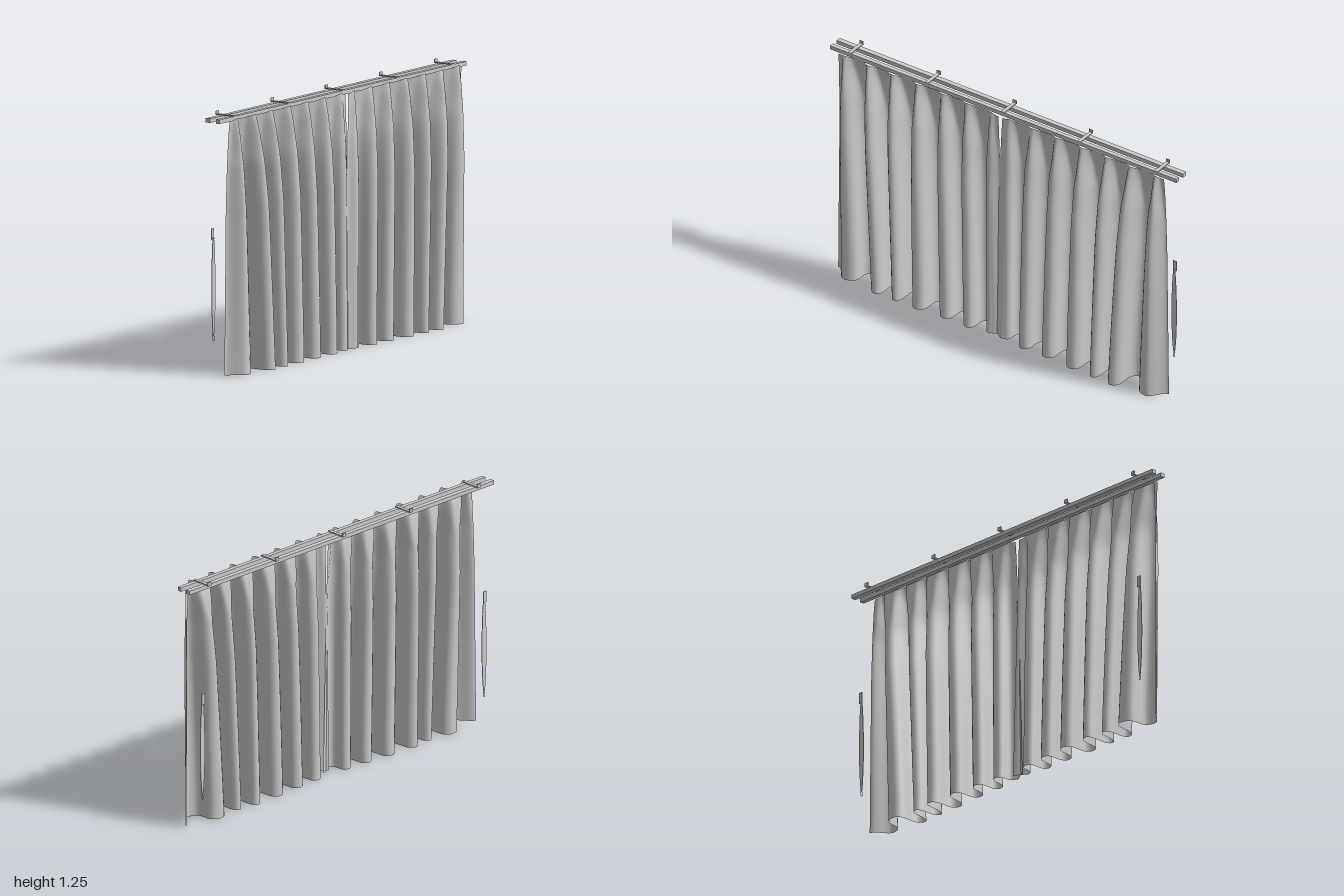
import * as THREE from 'three';

const material = new THREE.MeshStandardMaterial({ color: 0xcccccc, side: THREE.DoubleSide });

// Fold crests and valleys of one panel, outer edge to centre: [x at top, x at hem, depth z]
const FOLDS = [
  [0.94, 0.955, 0.0], [0.9, 0.87, 0.075], [0.83, 0.755, -0.045],
  [0.76, 0.68, 0.095], [0.69, 0.625, -0.03], [0.62, 0.57, 0.09],
  [0.55, 0.52, -0.045], [0.475, 0.445, 0.09], [0.405, 0.365, -0.04],
  [0.33, 0.295, 0.08], [0.26, 0.225, -0.03], [0.19, 0.16, 0.08],
  [0.115, 0.1, -0.02], [0.05, 0.04, 0.06], [0.012, -0.025, 0.03],
];
// Fold fullness by height: [y, factor]
const FULLNESS = [[0, 1], [0.8, 0.93], [1.0, 0.74], [1.15, 0.47], [1.235, 0.17]];
const MID = 0.025, TOP = 1.233;

function fullness(y) {
  for (let i = 1; i < FULLNESS.length; i++) {
    const [y0, a] = FULLNESS[i - 1], [y1, b] = FULLNESS[i];
    if (y <= y1) return THREE.MathUtils.lerp(a, b, (y - y0) / (y1 - y0));
  }
  return 0.17;
}

// One curtain panel: a sheet whose folds tighten into pleats at the heading
function panel(side) {
  const steps = 10, rows = 40, cols = (FOLDS.length - 1) * steps;
  const pos = [], index = [];
  for (let r = 0; r <= rows; r++) {
    const v = Math.pow(r / rows, 0.7); // denser rows near the heading
    for (let c = 0; c <= cols; c++) {
      const i = Math.min(Math.floor(c / steps), FOLDS.length - 2);
      const f = c / steps - i;
      const a = FOLDS[i], b = FOLDS[i + 1];
      const heading = THREE.MathUtils.smoothstep(v, 0.8, 1);
      // share of the way from valley to crest, narrowed at the heading
      const crest = a[2] > b[2] ? (1 + Math.cos(Math.PI * f)) / 2 : (1 - Math.cos(Math.PI * f)) / 2;
      const w = Math.pow(crest, 1 + 2.5 * heading);
      const z = THREE.MathUtils.lerp(Math.min(a[2], b[2]), Math.max(a[2], b[2]), w);
      const y = v * (TOP - 0.012 * heading * (1 - w)) + 0.003 * (1 - v);
      const lean = Math.pow(1 - v, 0.8);
      const x0 = THREE.MathUtils.lerp(a[0], a[1], lean);
      const x1 = THREE.MathUtils.lerp(b[0], b[1], lean);
      // rounded, slightly overhanging folds in the lower cloth
      const bulge = 0.16 * (1 - v * v) * Math.sin(2 * Math.PI * f);
      const inner = i === 0 || i === FOLDS.length - 2 ? 0 : 1;
      const x = x0 + (x1 - x0) * (f + bulge * inner);
      // the two panels pass one in front of the other at the centre
      const lap = x < 0.04 ? side * 0.006 * (1 - v) : 0;
      pos.push(side * x, y, MID + (z - MID) * fullness(y) + lap);
    }
  }
  const n = cols + 1;
  for (let r = 0; r < rows; r++) {
    for (let c = 0; c < cols; c++) {
      const p = r * n + c, q = p + n;
      if (side < 0) index.push(p, p + 1, q + 1, p, q + 1, q);
      else index.push(p, q + 1, p + 1, p, q, q + 1);
    }
  }
  const g = new THREE.BufferGeometry();
  g.setAttribute('position', new THREE.Float32BufferAttribute(pos, 3));
  g.setIndex(index);
  g.computeVertexNormals();
  return g;
}

function add(parent, name, geometry, x = 0, y = 0, z = 0) {
  const mesh = new THREE.Mesh(geometry, material);
  mesh.name = name;
  mesh.position.set(x, y, z);
  parent.add(mesh);
  return mesh;
}

// Hanging tieback: flat tapered band, wall hook and end ring
function tieback(side) {
  const g = new THREE.Group();
  g.name = side > 0 ? 'leftTieback' : 'rightTieback';
  const outline = new THREE.Shape();
  outline.moveTo(-0.003, 0.18);
  outline.bezierCurveTo(-0.018, 0.28, -0.018, 0.5, -0.006, 0.64);
  outline.lineTo(0.006, 0.64);
  outline.bezierCurveTo(0.018, 0.5, 0.018, 0.28, 0.003, 0.18);
  add(g, 'tiebackBand', new THREE.ExtrudeGeometry(outline, { depth: 0.003, bevelEnabled: false }), 0, 0, -0.087);
  add(g, 'tiebackHookPlate', new THREE.BoxGeometry(0.02, 0.055, 0.004), 0, 0.668, -0.091);
  add(g, 'tiebackHookPin', new THREE.BoxGeometry(0.006, 0.006, 0.01), 0, 0.648, -0.087);
  const ring = add(g, 'tiebackRing', new THREE.TorusGeometry(0.008, 0.0015, 6, 16), 0, 0.17, -0.0855);
  ring.rotation.y = Math.PI / 2;
  ring.scale.set(0.7, 1.5, 1);
  g.position.x = side * 0.925;
  return g;
}

export function createModel() {
  const model = new THREE.Group();
  model.name = 'curtains';

  // Curtain panels and tiebacks
  for (const side of [1, -1]) {
    add(model, side > 0 ? 'leftCurtain' : 'rightCurtain', panel(side));
    model.add(tieback(side));
  }

  // Two parallel rails
  add(model, 'frontRail', new THREE.BoxGeometry(2, 0.02, 0.022), 0, 1.225, -0.007);
  add(model, 'backRail', new THREE.BoxGeometry(2, 0.02, 0.025), 0, 1.225, -0.064);

  // Brackets: an arm over both rails and an upright wall plate
  for (const x of [-0.885, -0.44, 0, 0.44, 0.885]) {
    const bracket = new THREE.Group();
    bracket.name = 'bracket';
    add(bracket, 'bracketArm', new THREE.BoxGeometry(0.018, 0.005, 0.1), 0, 1.2375, -0.042);
    add(bracket, 'bracketPlate', new THREE.BoxGeometry(0.022, 0.019, 0.004), 0, 1.2445, -0.092);
    bracket.position.x = x;
    model.add(bracket);
  }
  return model;
}
